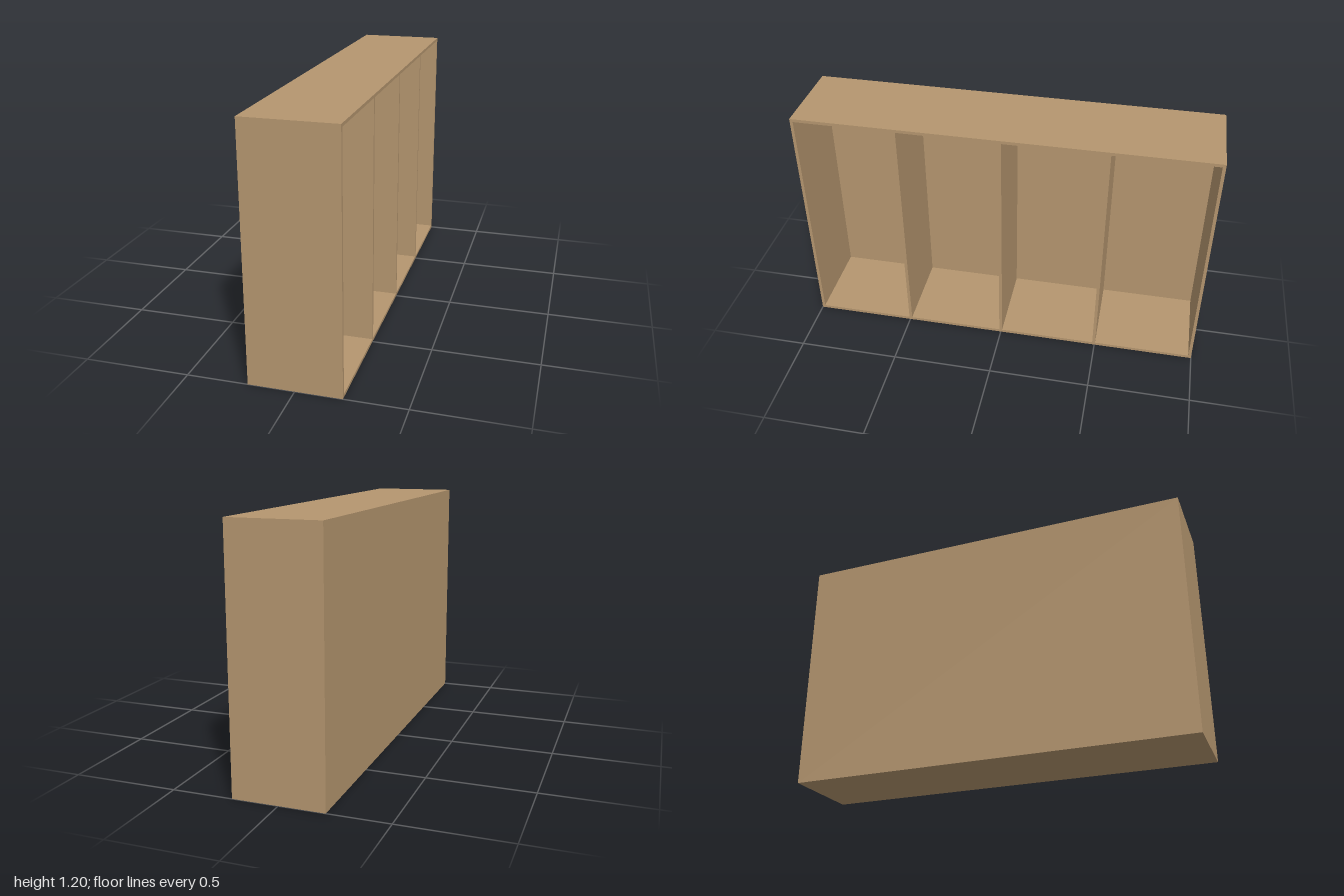
import * as THREE from 'three';

export function createModel() {
  const group = new THREE.Group();
  const wood = new THREE.MeshStandardMaterial({ color: 0xb5966f });

  const W = 0.43, H = 1.197, L = 2; // depth (x), height (y), length (z)
  const T = 0.015, BACK = 0.01;     // board and back panel thickness
  const bays = 4;

  const board = (name, sx, sy, sz, x, y, z) => {
    const mesh = new THREE.Mesh(new THREE.BoxGeometry(sx, sy, sz), wood);
    mesh.name = name;
    mesh.position.set(x, y, z);
    group.add(mesh);
  };

  // Back panel closes the -x side; the cabinet opens towards +x
  board('backPanel', BACK, H, L, -W / 2 + BACK / 2, H / 2, 0);

  const depth = W - BACK, cx = BACK / 2;

  // Top and bottom boards
  board('bottomBoard', depth, T, L, cx, T / 2, 0);
  board('topBoard', depth, T, L, cx, H - T / 2, 0);

  // End boards and evenly spaced dividers
  const pitch = (L - T) / bays;
  for (let i = 0; i <= bays; i++) {
    const name = i === 0 || i === bays ? 'endBoard' : 'divider';
    board(name, depth, H - 2 * T, T, cx, H / 2, -L / 2 + T / 2 + i * pitch);
  }
  return group;
}
